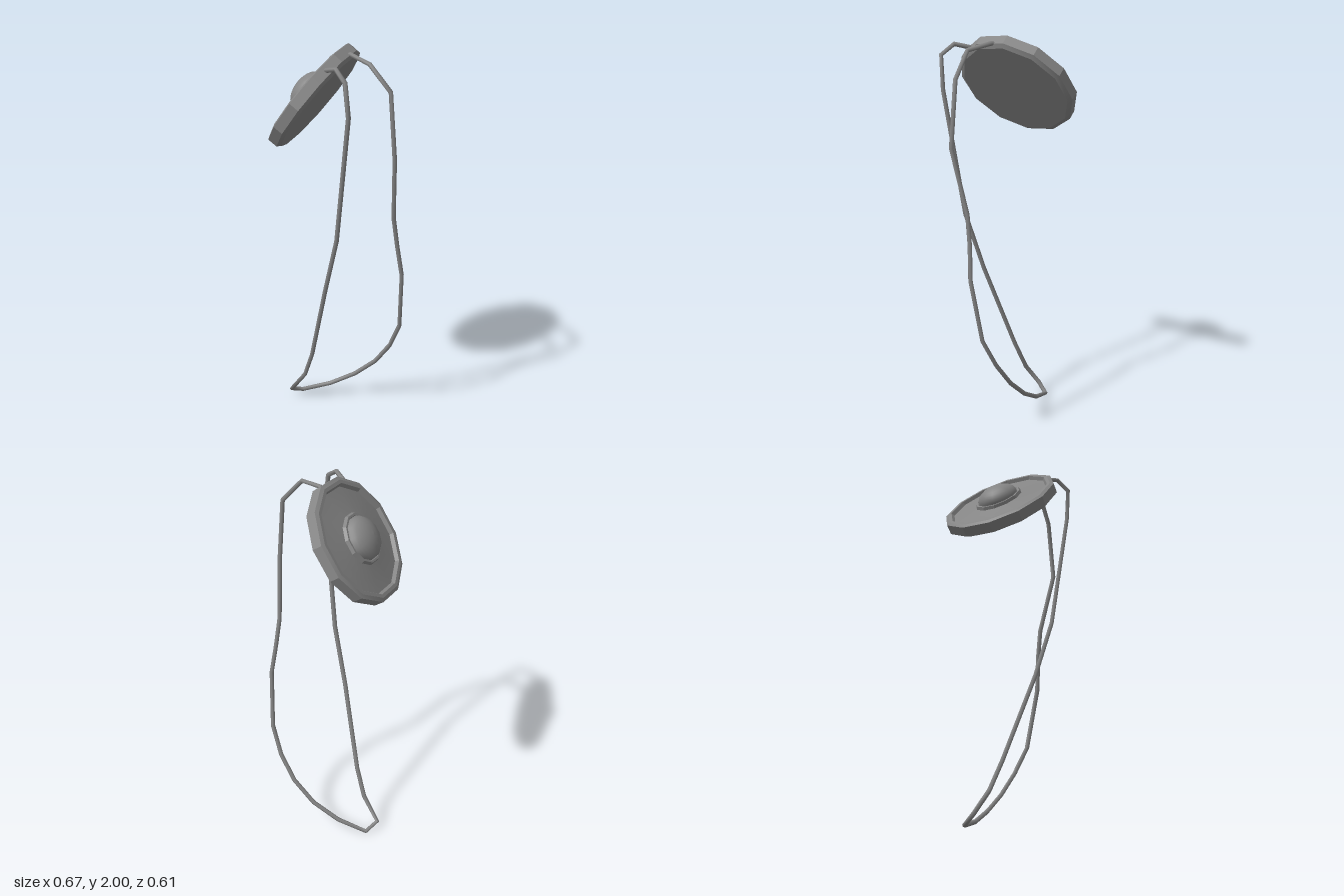
import * as THREE from 'three';
import { toCreasedNormals } from 'three/addons/utils/BufferGeometryUtils.js';

const SIDES = 12;
const PHASE = THREE.MathUtils.degToRad(6.6);

// Turned part from [radius, height] pairs, listed from the bottom centre outwards and up
function turned(name, profile, material, crease) {
  const points = profile.map(([r, h]) => new THREE.Vector2(r, h));
  let geometry = new THREE.LatheGeometry(points, SIDES, PHASE, Math.PI * 2);
  if (crease) geometry = toCreasedNormals(geometry, crease);
  const mesh = new THREE.Mesh(geometry, material);
  mesh.name = name;
  return mesh;
}

// Curve with one straight piece between neighbouring points and mitred bends
class BentPath extends THREE.Curve {
  constructor(points) {
    super();
    this.points = points.map((p) => new THREE.Vector3(...p));
  }
  index(u) {
    return Math.round(u * (this.points.length - 1));
  }
  getPointAt(u, target = new THREE.Vector3()) {
    return target.copy(this.points[this.index(u)]);
  }
  getTangentAt(u, target = new THREE.Vector3()) {
    const i = this.index(u), p = this.points;
    const here = p[i], before = p[i - 1], after = p[i + 1];
    target.set(0, 0, 0);
    if (before) target.add(here.clone().sub(before).normalize());
    if (after) target.add(after.clone().sub(here).normalize());
    return target.normalize();
  }
}

export function createModel() {
  const model = new THREE.Group();
  model.name = 'amulet';
  const material = new THREE.MeshStandardMaterial({ color: 0x868686 });

  // Tilted pendant: local y points out of its decorated face
  const pendant = new THREE.Group();
  pendant.name = 'pendant';
  pendant.position.set(-0.14, 1.744, 0);
  pendant.rotation.z = 0.937;
  model.add(pendant);

  // Plate with bevelled back, lipped rim, shallow recess and low collar
  pendant.add(turned('plate', [
    [0, -0.046], [0.282, -0.046], [0.304, -0.034], [0.305, 0.017],
    [0.287, 0.025], [0.27, 0.025], [0.26, 0.008], [0.2, 0.013],
    [0.128, 0.022], [0.121, 0.037], [0.111, 0.037], [0.106, 0.03], [0, 0.03],
  ], material, 0.42));

  // Rounded boss in the middle
  const dome = [];
  for (let i = 0; i <= 8; i++) {
    const a = (i / 8) * Math.PI / 2;
    dome.push([0.108 * Math.cos(a), 0.03 + 0.066 * Math.sin(a)]);
  }
  pendant.add(turned('boss', dome, material));

  // Hanging cord, from one side of the pendant round to the other
  const path = new BentPath([
    [0.0, 1.92, 0.187], [0.067, 1.942, 0.238], [0.124, 1.895, 0.275],
    [0.135, 1.73, 0.26], [0.053, 1.09, 0.196], [-0.03, 0.78, 0.14],
    [-0.152, 0.33, 0.025], [-0.21, 0.175, -0.012], [-0.302, 0.047, -0.042],
    [-0.262, 0.014, -0.107], [-0.11, 0.07, -0.135], [0.03, 0.155, -0.146],
    [0.149, 0.265, -0.133], [0.238, 0.395, -0.103], [0.301, 0.545, -0.062],
    [0.322, 0.86, -0.01], [0.299, 1.03, 0.007], [0.285, 1.18, 0.028],
    [0.307, 1.5, 0.1], [0.278, 1.82, 0.09], [0.175, 1.94, 0.09],
    [0.062, 1.962, 0.03], [0.02, 1.95, 0.01],
  ]);
  const cord = new THREE.Mesh(
    new THREE.TubeGeometry(path, path.points.length - 1, 0.0115, 6, false), material);
  cord.name = 'cord';
  model.add(cord);

  return model;
}
